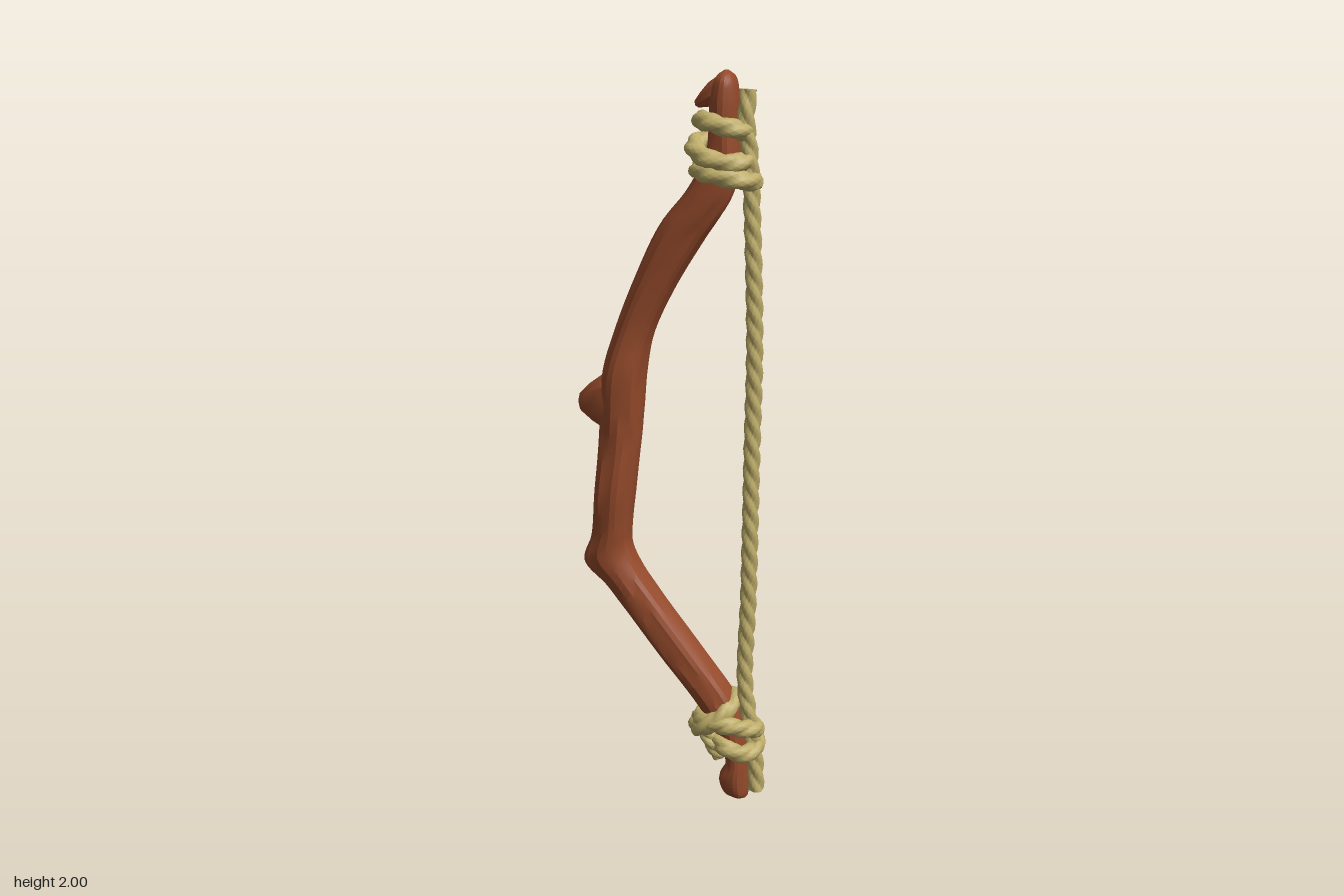
import * as THREE from 'three';
import { mergeVertices, toCreasedNormals } from 'three/addons/utils/BufferGeometryUtils.js';

const wood = new THREE.MeshStandardMaterial({ name: 'reddish brown wood', color: 0x944a2b });
const hemp = new THREE.MeshStandardMaterial({ name: 'straw rope', color: 0xbdac69 });

// Skins a row of rings; point(i, angle) gives each corner. Open ends are capped.
function loft(rings, sides, point, closed, crease) {
  const pos = [], idx = [];
  for (let i = 0; i <= rings; i++) {
    for (let j = 0; j < sides; j++) pos.push(...point(i, (j / sides) * Math.PI * 2).toArray());
  }
  for (let i = 0; i < rings; i++) {
    for (let j = 0; j < sides; j++) {
      const k = (j + 1) % sides;
      const a = i * sides + j, b = i * sides + k, c = a + sides, d = b + sides;
      idx.push(a, c, b, b, c, d);
    }
  }
  if (!closed) {
    const e = rings * sides;
    for (let j = 1; j < sides - 1; j++) idx.push(0, j, j + 1, e, e + j + 1, e + j);
  }
  const g = new THREE.BufferGeometry();
  g.setAttribute('position', new THREE.Float32BufferAttribute(pos, 3));
  g.setIndex(idx);
  return toCreasedNormals(g, crease);
}

function add(parent, name, geometry, material) {
  const mesh = new THREE.Mesh(geometry, material);
  mesh.name = name;
  parent.add(mesh);
  return mesh;
}

// Twisted three-strand rope along a curve
function rope(curve, radius, closed = false) {
  const length = curve.getLength();
  const rings = Math.ceil(length / 0.011);
  const turns = Math.max(1, Math.round(length / 0.17));
  const { normals, binormals } = curve.computeFrenetFrames(rings, closed);
  return loft(rings, 12, (i, a) => {
    const t = i / rings;
    const r = radius * (0.76 + 0.26 * Math.abs(Math.cos(1.5 * a)));
    const w = a + t * turns * Math.PI * 2;
    return curve.getPointAt(t)
      .addScaledVector(normals[i], r * Math.cos(w))
      .addScaledVector(binormals[i], -r * Math.sin(w));
  }, closed, 0.7);
}

// Tilted oval turn of rope around the limb
function turn(cx, cy, rx, rz, slopeX, slopeZ) {
  const pts = [];
  for (let i = 0; i < 12; i++) {
    const a = (i / 12) * Math.PI * 2, x = rx * Math.cos(a), z = rz * Math.sin(a);
    pts.push(new THREE.Vector3(cx + x, cy + slopeX * x + slopeZ * z, z));
  }
  return rope(new THREE.CatmullRomCurve3(pts, true), 0.026, true);
}

const path = (pts) => new THREE.CatmullRomCurve3(pts.map((p) => new THREE.Vector3(...p)));

// Blunt knot of wood growing from base towards tip
function knot(base, tip, halfHeight, halfDepth) {
  const profile = [[1, 0], [0.93, 0.3], [0.62, 0.66], [0.3, 0.93], [0, 1]]
    .map(([x, y]) => new THREE.Vector2(x, y));
  const from = new THREE.Vector3(...base), dir = new THREE.Vector3(...tip).sub(from);
  let g = new THREE.LatheGeometry(profile, 9);
  g.scale(halfHeight, dir.length(), halfDepth);
  g.applyQuaternion(new THREE.Quaternion().setFromUnitVectors(
    new THREE.Vector3(0, 1, 0), dir.clone().normalize()));
  g.translate(...base);
  g.deleteAttribute('normal');
  g.deleteAttribute('uv');
  g = mergeVertices(g, 1e-4);
  return toCreasedNormals(g, 0.6);
}

// Stave sections from foot to tip: left x, left y, right x, right y, half depth
const sections = [
  [0.185, 0.0, 0.2, 0.0, 0.008], [0.15, 0.022, 0.218, 0.01, 0.035],
  [0.138, 0.065, 0.22, 0.06, 0.046], [0.158, 0.11, 0.216, 0.12, 0.046],
  [0.13, 0.19, 0.212, 0.21, 0.05], [0.08, 0.27, 0.18, 0.295, 0.054],
  [-0.03, 0.4, 0.085, 0.425, 0.056], [-0.135, 0.535, -0.03, 0.57, 0.057],
  [-0.18, 0.595, -0.09, 0.65, 0.06], [-0.245, 0.66, -0.115, 0.71, 0.062],
  [-0.222, 0.74, -0.116, 0.77, 0.066], [-0.212, 0.87, -0.105, 0.87, 0.077],
  [-0.2, 1.0, -0.09, 1.0, 0.068], [-0.192, 1.1, -0.082, 1.1, 0.072],
  [-0.185, 1.2, -0.074, 1.2, 0.076], [-0.15, 1.32, -0.054, 1.3, 0.062],
  [-0.1, 1.45, 0.0, 1.42, 0.058], [-0.03, 1.6, 0.08, 1.555, 0.058],
  [0.05, 1.71, 0.155, 1.67, 0.057], [0.09, 1.79, 0.18, 1.76, 0.052],
  [0.1, 1.87, 0.175, 1.87, 0.047], [0.103, 1.94, 0.174, 1.93, 0.046],
  [0.118, 1.985, 0.166, 1.98, 0.036], [0.136, 2.0, 0.148, 2.0, 0.008],
];

function stave() {
  const left = path(sections.map((s) => [s[0], s[1], s[4]]));
  const right = path(sections.map((s) => [s[2], s[3], s[4]]));
  const rings = 110;
  const square = (v) => Math.sign(v) * Math.abs(v) ** 0.85;
  return loft(rings, 22, (i, a) => {
    const t = i / rings, l = left.getPoint(t), r = right.getPoint(t);
    // meandering bark ridges
    const ridge = Math.abs(Math.sin(3 * a + 0.9 * Math.sin(t * 17) + 0.4 * Math.sin(t * 41)));
    const k = 0.91 + 0.1 * ridge ** 0.6;
    const c = square(Math.cos(a)) * k, s = square(Math.sin(a)) * k;
    return new THREE.Vector3(
      (l.x + r.x) / 2 + (r.x - l.x) / 2 * c,
      THREE.MathUtils.clamp((l.y + r.y) / 2 + (r.y - l.y) / 2 * c, 0, 2),
      (l.z + r.z) / 2 * s);
  }, false, 0.4);
}

export function createModel() {
  const model = new THREE.Group();
  model.name = 'woodenBow';

  // Wooden stave with its knots
  const body = new THREE.Group();
  body.name = 'stave';
  model.add(body);
  add(body, 'limbs', stave(), wood);
  add(body, 'upperKnot', knot([-0.15, 1.11, 0], [-0.262, 1.1, 0], 0.085, 0.058), wood);
  add(body, 'tipHook', knot([0.135, 1.955, 0], [0.06, 1.908, 0], 0.034, 0.034), wood);

  // Bowstring, with loose ends at the top and bottom
  add(model, 'bowstring', rope(path([
    [0.2, 1.955, 0], [0.197, 1.88, 0.01], [0.205, 1.8, 0.005], [0.21, 1.7, 0], [0.223, 1.3, 0],
    [0.219, 1, 0], [0.214, 0.6, 0], [0.207, 0.35, 0], [0.222, 0.23, 0], [0.238, 0.13, 0], [0.242, 0.03, 0],
  ]), 0.023), hemp);

  // Rope bindings
  const upper = new THREE.Group(), lower = new THREE.Group();
  upper.name = 'upperBinding';
  lower.name = 'lowerBinding';
  model.add(upper, lower);
  [
    [0.137, 1.86, 0.058, 0.052, -0.2, 0.2], [0.13, 1.795, 0.07, 0.058, -0.2, -0.25],
    [0.143, 1.735, 0.072, 0.058, -0.15, 0.12],
  ].forEach((t, i) => add(upper, 'upperTurn' + (i + 1), turn(...t), hemp));
  [
    [0.16, 0.22, 0.078, 0.058, -0.08, 0.3], [0.125, 0.25, 0.05, 0.056, 0.75, -0.25],
    [0.187, 0.175, 0.052, 0.054, -0.3, -0.25],
  ].forEach((t, i) => add(lower, 'lowerTurn' + (i + 1), turn(...t), hemp));
  add(lower, 'looseEnd', rope(path([[0.1, 0.22, 0.03], [0.125, 0.17, 0.035], [0.145, 0.13, 0.02]]), 0.023), hemp);
  return model;
}
